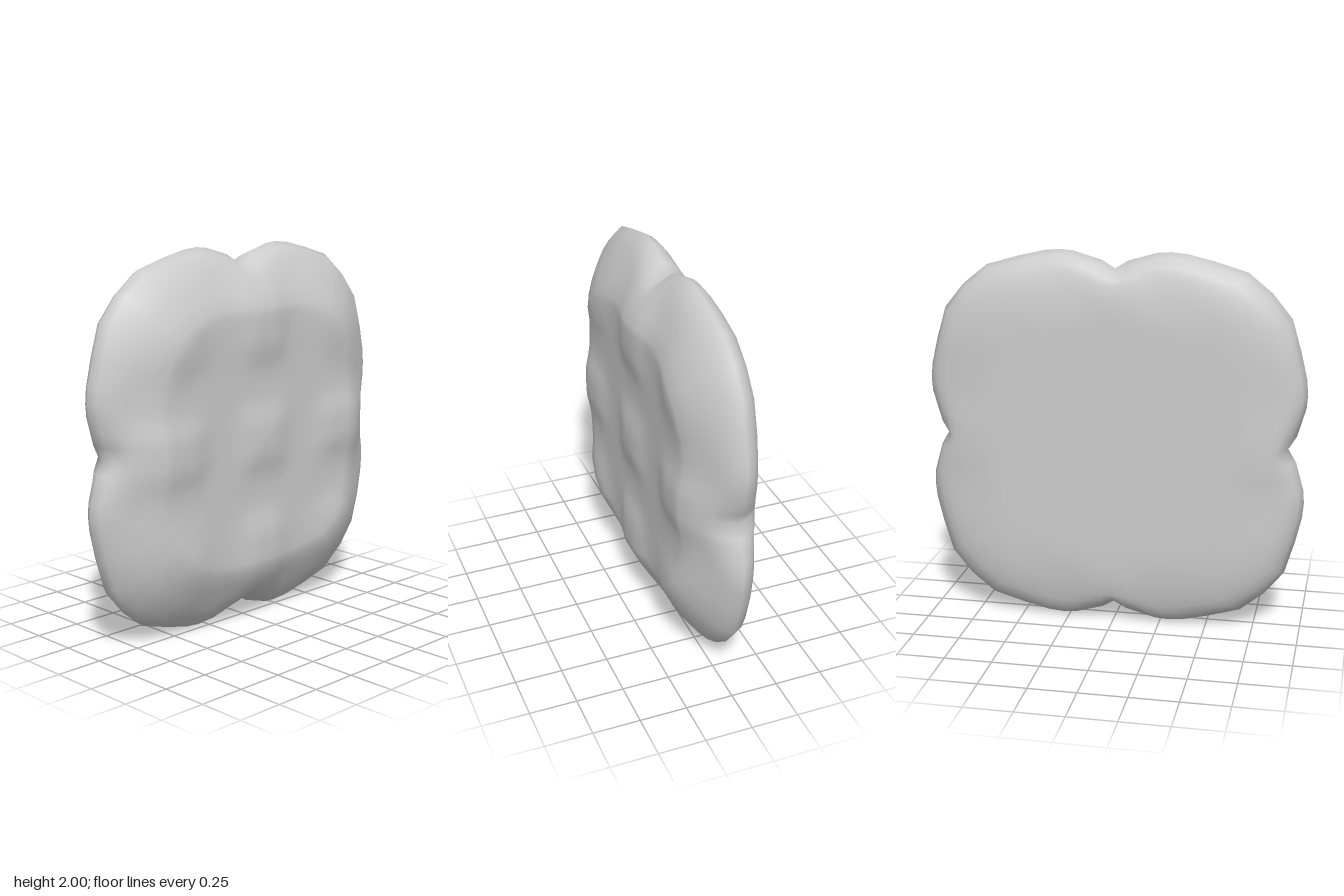
import * as THREE from 'three';

// One eighth of the rim (top middle to corner diagonal), relative to the centre:
// scalloped at the very edge, full further in
const SCALLOPED = [[0, 0.91], [0.07, 0.952], [0.14, 0.972], [0.22, 0.995], [0.29, 1], [0.37, 0.993], [0.51, 0.96], [0.68, 0.91], [0.807, 0.807]];
const FULL = [[0, 0.995], [0.07, 0.998], [0.14, 1], [0.22, 1], [0.29, 1], [0.38, 0.995], [0.53, 0.97], [0.69, 0.92], [0.825, 0.825]];

// Profiles from the middle to the rim: [share of the rim radius, z]
const FRONT = [[0, 0.183], [0.69, 0.183], [0.76, 0.15], [0.84, 0.103], [0.93, 0.04], [0.975, -0.003], [1, -0.045]];
const BACK = [[0, -0.183], [0.68, -0.183], [0.78, -0.176], [0.86, -0.16], [0.935, -0.13], [0.98, -0.09], [1, -0.045]];

// Mirror an eighth into a quarter, then turn it four times
function outline(eighth) {
  const mirrored = eighth.slice(1, -1).reverse().map(([x, y]) => [y, x]);
  let quarter = [...eighth, ...mirrored];
  const points = [];
  for (let q = 0; q < 4; q++) {
    points.push(...quarter);
    quarter = quarter.map(([x, y]) => [y, -x]);
  }
  return points;
}

function sample(profile, s) {
  let i = 1;
  while (i < profile.length - 1 && profile[i][0] < s) i++;
  const [s0, z0] = profile[i - 1], [s1, z1] = profile[i];
  return z0 + (z1 - z0) * (s - s0) / (s1 - s0);
}

// 3 x 3 field of soft bumps; the outer ones run on to the rim
const ridge = (v) => {
  const c = 0.5 + 0.5 * Math.cos((2 * Math.PI * Math.min(Math.abs(v), 0.58)) / 0.58);
  return THREE.MathUtils.smoothstep(c, 0, 1);
};
const hollow = (x, y) => 1 - ridge(x) * ridge(y);

function frontZ(x, y, s) {
  const fade = 1 - THREE.MathUtils.smoothstep(s, 0.75, 1);
  return sample(FRONT, s) - 0.028 * fade * hollow(x, y);
}

// The back is flat with faint flutes near the rim
function backZ(x, y, s) {
  const band = THREE.MathUtils.smoothstep(s, 0.6, 0.8) * (1 - THREE.MathUtils.smoothstep(s, 0.85, 1));
  return sample(BACK, s) + 0.01 * band * hollow(x, y);
}

function cushionGeometry() {
  const scalloped = outline(SCALLOPED), full = outline(FULL);
  const n = full.length;
  const shares = [];
  for (let i = 1; i <= 14; i++) shares.push(i * 0.05);
  shares.push(0.77, 0.84, 0.89, 0.935, 0.975);

  // Rings run from the front middle over the rim to the back middle
  const rings = [
    ...shares.map((s) => [s, frontZ]),
    [1, frontZ],
    ...[...shares].reverse().map((s) => [s, backZ]),
  ];
  const positions = [0, 0, frontZ(0, 0, 0)];
  for (const [s, height] of rings) {
    const w = THREE.MathUtils.smoothstep(s, 0.82, 1);
    for (let k = 0; k < n; k++) {
      const x = s * THREE.MathUtils.lerp(full[k][0], scalloped[k][0], w);
      const y = s * THREE.MathUtils.lerp(full[k][1], scalloped[k][1], w);
      positions.push(x, y, height(x, y, s));
    }
  }
  const last = positions.length / 3;
  positions.push(0, 0, backZ(0, 0, 0));

  const index = [];
  const at = (r, k) => 1 + r * n + (k % n);
  for (let k = 0; k < n; k++) {
    index.push(0, at(0, k + 1), at(0, k));
    for (let r = 0; r < rings.length - 1; r++) {
      const a = at(r, k), b = at(r, k + 1), c = at(r + 1, k), d = at(r + 1, k + 1);
      index.push(a, b, c, b, d, c);
    }
    index.push(at(rings.length - 1, k), at(rings.length - 1, k + 1), last);
  }

  const geometry = new THREE.BufferGeometry();
  geometry.setAttribute('position', new THREE.Float32BufferAttribute(positions, 3));
  geometry.setIndex(index);
  geometry.computeVertexNormals();
  return geometry;
}

export function createModel() {
  const group = new THREE.Group();
  group.name = 'cushion';
  const body = new THREE.Mesh(cushionGeometry(), new THREE.MeshStandardMaterial({ color: 0xcccccc }));
  body.name = 'cushionBody';
  body.position.y = 1;
  group.add(body);
  return group;
}
